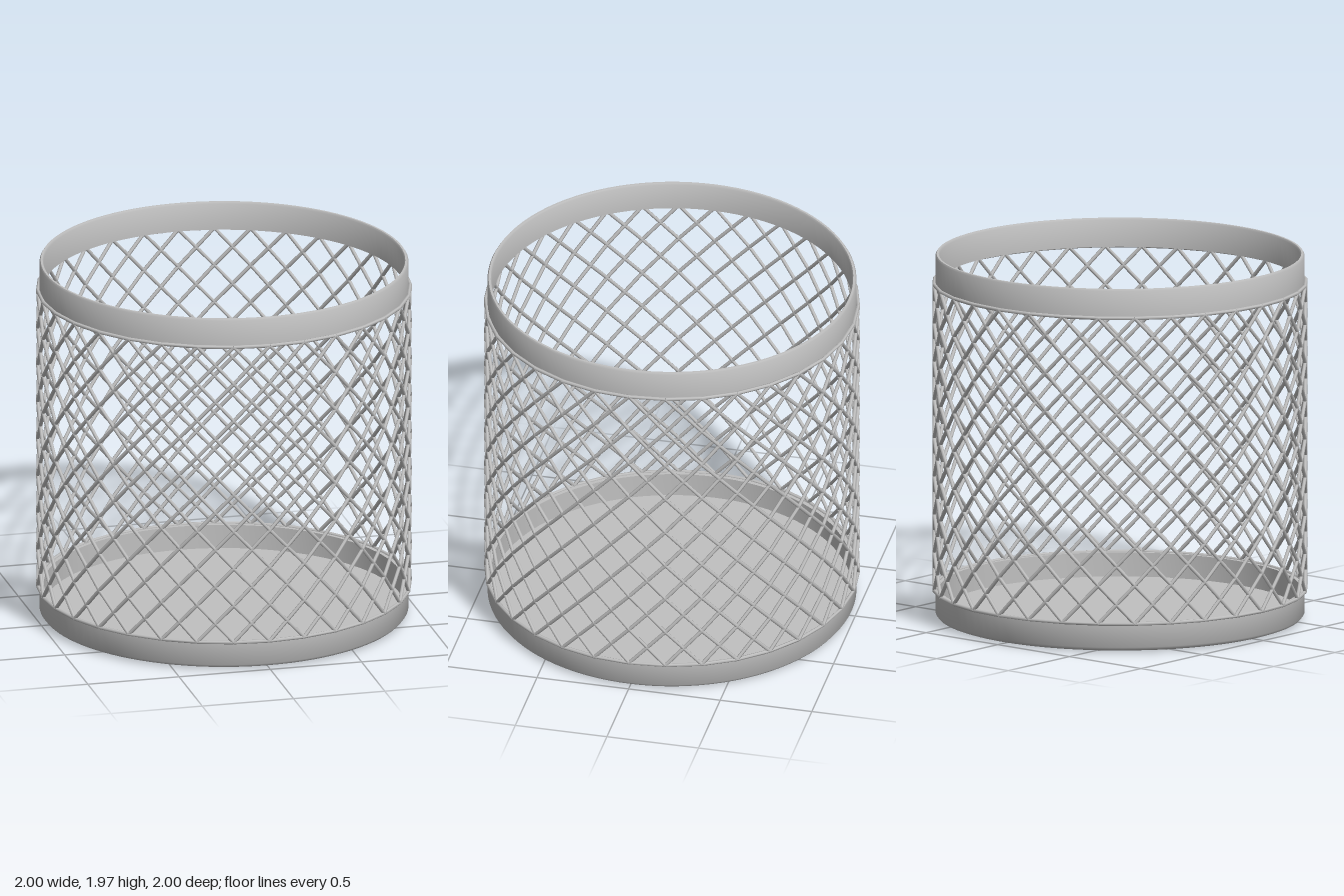
import * as THREE from 'three';
import { mergeGeometries, toCreasedNormals } from 'three/addons/utils/BufferGeometryUtils.js';

const COLUMNS = 32, ROWS = 8;
const WIRE_RADIUS = 0.01, MESH_RADIUS = 0.99;
const MESH_BOTTOM = 0.165, MESH_TOP = 1.82;

// Point of the wire grid at a column and row
function gridPoint(column, row) {
  const a = (column / COLUMNS) * Math.PI * 2;
  const y = MESH_BOTTOM + ((MESH_TOP - MESH_BOTTOM) * row) / ROWS;
  return new THREE.Vector3(Math.sin(a) * MESH_RADIUS, y, Math.cos(a) * MESH_RADIUS);
}

// Straight piece of wire between two points
function wire(a, b) {
  const dir = b.clone().sub(a);
  const g = new THREE.CylinderGeometry(WIRE_RADIUS, WIRE_RADIUS, dir.length(), 6);
  const q = new THREE.Quaternion().setFromUnitVectors(new THREE.Vector3(0, 1, 0), dir.normalize());
  g.applyQuaternion(q);
  const mid = a.clone().add(b).multiplyScalar(0.5);
  return g.translate(mid.x, mid.y, mid.z);
}

function turned(points) {
  const g = new THREE.LatheGeometry(points.map(([x, y]) => new THREE.Vector2(x, y)), 96);
  return toCreasedNormals(g, 0.75);
}

export function createModel() {
  const group = new THREE.Group();
  const metal = new THREE.MeshStandardMaterial({ color: 0xc0c0c0 });
  metal.name = 'greyMetal';

  const add = (name, geometry) => {
    const mesh = new THREE.Mesh(geometry, metal);
    mesh.name = name;
    group.add(mesh);
  };

  // Shallow dish with a rounded lower edge
  add('base', turned([
    [0, 0.008], [0.9, 0.009], [0.945, 0.013], [0.968, 0.021], [0.98, 0.036],
    [0.98, MESH_BOTTOM], [0.957, MESH_BOTTOM], [0.957, 0.035], [0, 0.035],
  ]));

  // Band around the opening
  add('rim', turned([
    [0.957, MESH_TOP], [0.98, MESH_TOP], [0.98, 1.965], [0.974, 1.975],
    [0.963, 1.975], [0.957, 1.965], [0.957, MESH_TOP],
  ]));

  // Crossing diagonal wires
  for (const [name, step] of [['leftLeaningWires', -1], ['rightLeaningWires', 1]]) {
    const pieces = [];
    for (let c = 0; c < COLUMNS; c++) {
      for (let r = 0; r < ROWS; r++) pieces.push(wire(gridPoint(c, r), gridPoint(c + step, r + 1)));
    }
    add(name, mergeGeometries(pieces));
  }

  // Wires closing the mesh at both bands
  for (const [name, row] of [['lowerRingWire', 0], ['upperRingWire', ROWS]]) {
    const pieces = [];
    for (let c = 0; c < COLUMNS; c++) pieces.push(wire(gridPoint(c, row), gridPoint(c + 1, row)));
    add(name, mergeGeometries(pieces));
  }

  return group;
}
